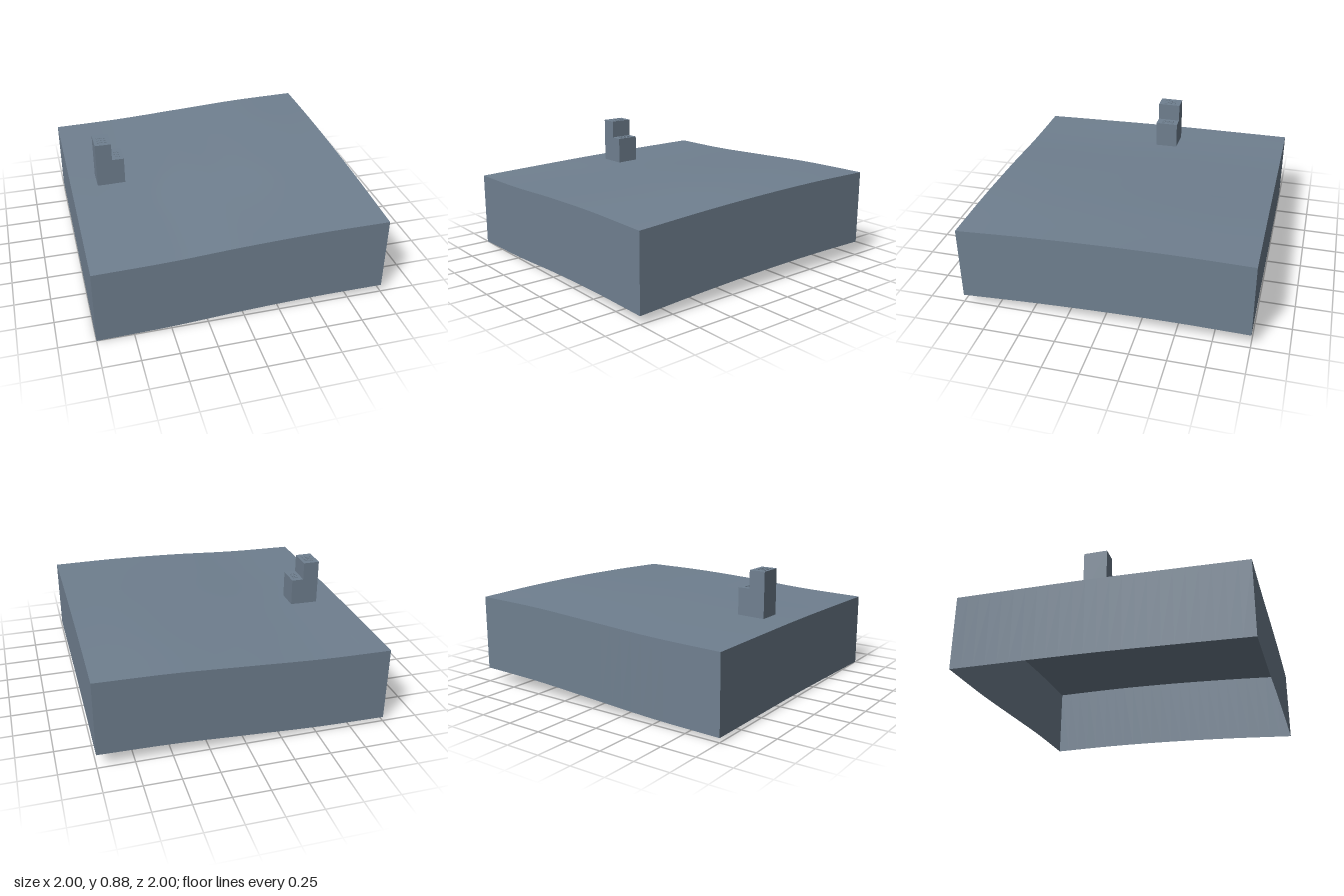
import * as THREE from 'three';

const slate = new THREE.MeshStandardMaterial({ color: 0x708090, side: THREE.DoubleSide });
slate.name = 'slate';

const SKIRT = 0.53; // height of the side walls
const SEGMENTS = 24;

// Ground relief in thousandths: rows run front to back, columns run -x to +x
const RELIEF = [
  [0, 11, 38, 54, 55],
  [13, 22, 50, 72, 82],
  [24, 34, 62, 88, 100],
  [28, 38, 66, 95, 107],
  [30, 40, 66, 92, 102],
];

// Smooth curve through five evenly spaced values, t in 0..4
function spline(v, t) {
  const i = Math.min(3, Math.max(0, Math.floor(t)));
  const f = t - i;
  const at = (k) => (k < 0 ? 2 * v[0] - v[1] : k > 4 ? 2 * v[4] - v[3] : v[k]);
  const [a, b, c, d] = [at(i - 1), at(i), at(i + 1), at(i + 2)];
  return b + 0.5 * f * (c - a + f * (2 * a - 5 * b + 4 * c - d + f * (3 * (b - c) + d - a)));
}

function relief(x, z) {
  const rows = RELIEF.map((row) => spline(row, (x + 1) * 2));
  return spline(rows, (1 - z) * 2) / 1000;
}

function addMesh(parent, name, geometry) {
  const mesh = new THREE.Mesh(geometry, slate);
  mesh.name = name;
  parent.add(mesh);
  return mesh;
}

function addBox(parent, name, x0, x1, y0, y1, z0, z1) {
  const mesh = addMesh(parent, name, new THREE.BoxGeometry(x1 - x0, y1 - y0, z1 - z0));
  mesh.position.set((x0 + x1) / 2, (y0 + y1) / 2, (z0 + z1) / 2);
}

// Rolling top surface
function groundGeometry() {
  const g = new THREE.PlaneGeometry(2, 2, SEGMENTS, SEGMENTS).rotateX(-Math.PI / 2);
  const p = g.attributes.position;
  for (let i = 0; i < p.count; i++) p.setY(i, SKIRT + relief(p.getX(i), p.getZ(i)));
  g.computeVertexNormals();
  return g;
}

// Side wall whose top and bottom edges both follow the ground
function wallGeometry(turn) {
  const g = new THREE.PlaneGeometry(2, SKIRT, SEGMENTS, 1)
    .translate(0, SKIRT / 2, 1)
    .rotateY(turn * Math.PI / 2);
  const p = g.attributes.position;
  for (let i = 0; i < p.count; i++) p.setY(i, p.getY(i) + relief(p.getX(i), p.getZ(i)));
  return g;
}

// Block with a neat grid of low vents on its flat roof
function addBlock(parent, name, x0, x1, top) {
  const z0 = -0.165, z1 = 0;
  const block = new THREE.Group();
  block.name = name;
  parent.add(block);
  addBox(block, name + 'Walls', x0, x1, 0.558, top, z0, z1);
  const cols = 3, rows = 3;
  const dx = (x1 - x0 - 0.04) / cols, dz = (z1 - z0 - 0.07) / rows;
  for (let i = 0; i < cols; i++) {
    for (let j = 0; j < rows; j++) {
      const x = x0 + 0.02 + i * dx, z = z0 + 0.035 + j * dz;
      addBox(block, 'roofVent', x + 0.003, x + dx - 0.003, top, top + 0.003, z + 0.003, z + dz - 0.003);
    }
  }
}

export function createModel() {
  const model = new THREE.Group();
  model.name = 'terrainTile';

  addMesh(model, 'ground', groundGeometry());
  ['frontWall', 'leftWall', 'backWall', 'rightWall'].forEach((name, i) => addMesh(model, name, wallGeometry(i)));

  // Stepped building
  const building = new THREE.Group();
  building.name = 'building';
  model.add(building);
  addBlock(building, 'tallBlock', -0.81, -0.695, 0.882);
  addBlock(building, 'lowBlock', -0.695, -0.61, 0.754);

  return model;
}
